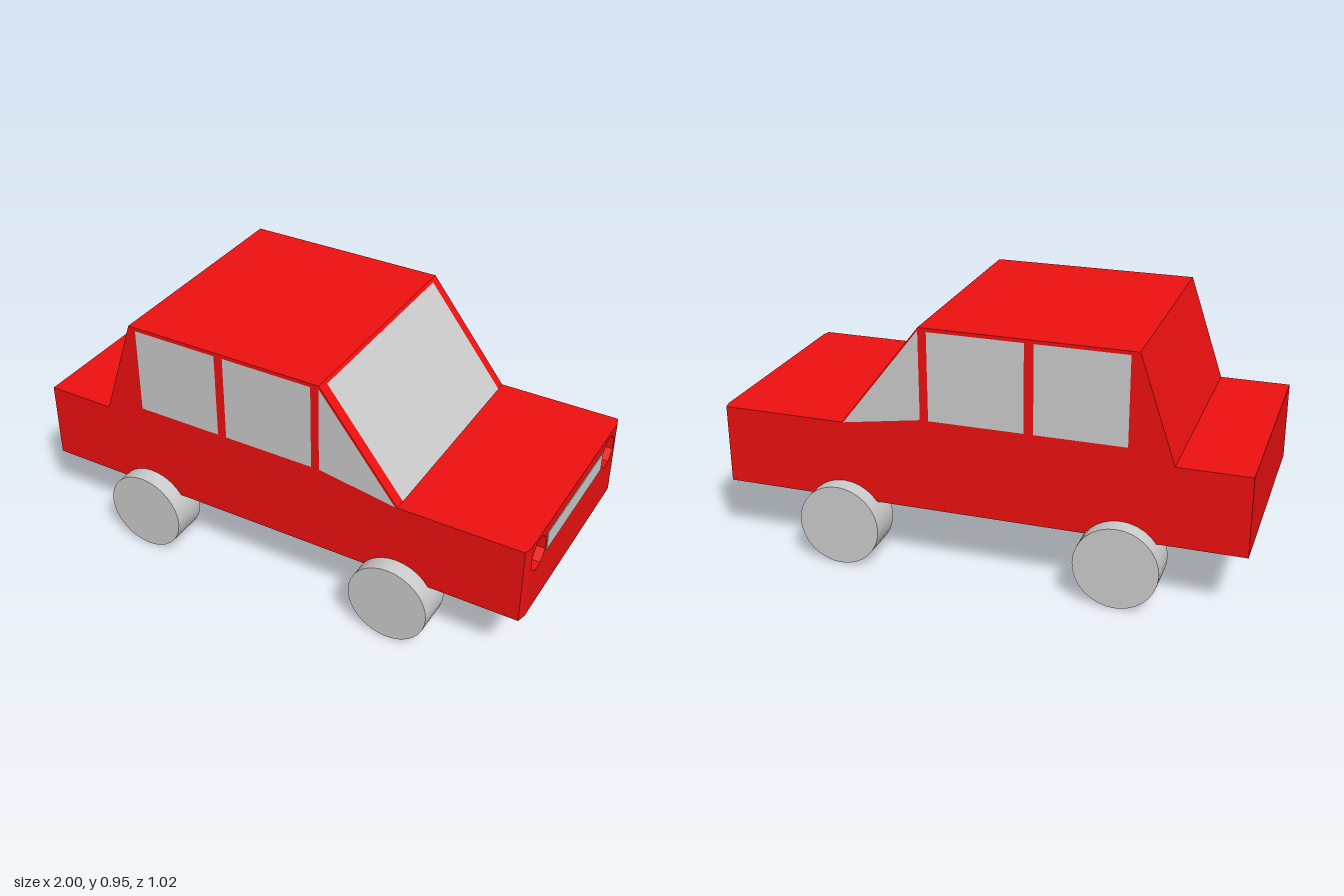
import * as THREE from 'three';

const red = new THREE.MeshStandardMaterial({ color: 0xee1010, flatShading: true });
const grey = new THREE.MeshStandardMaterial({ color: 0xcccccc });
const glass = new THREE.MeshStandardMaterial({ color: 0xcccccc, side: THREE.DoubleSide });

const shapeOf = pts => new THREE.Shape(pts.map(([x, y]) => new THREE.Vector2(x, y)));
const extrude = (shape, depth) => new THREE.ExtrudeGeometry(shape, { depth, bevelEnabled: false });

export function createModel() {
  const car = new THREE.Group();
  car.name = 'car';
  const add = (name, geometry, material, x = 0, y = 0, z = 0) => {
    const mesh = new THREE.Mesh(geometry, material);
    mesh.name = name;
    mesh.position.set(x, y, z);
    car.add(mesh);
    return mesh;
  };

  const W = 0.445, FLOOR = 0.245, DECK = 0.55, ROOF = 0.95;
  const NOSE_BACK = 0.94, NOSE = 0.995, NOSE_W = 0.41;

  // Body and cabin: one side profile across the full width
  const profile = shapeOf([
    [-1, FLOOR], [NOSE_BACK, FLOOR], [NOSE_BACK, DECK], [0.51, DECK],
    [0.2, ROOF], [-0.595, ROOF], [-0.73, DECK], [-1, DECK],
  ]);
  add('body', extrude(profile, 2 * W), red, 0, 0, -W);

  // Nose panel with two octagonal headlight recesses
  const panel = shapeOf([[-NOSE_W, FLOOR], [NOSE_W, FLOOR], [NOSE_W, DECK], [-NOSE_W, DECK]]);
  for (const side of [-1, 1]) {
    const octagon = [];
    for (let i = 0; i < 8; i++) {
      const a = (i + 0.5) * Math.PI / 4;
      octagon.push(new THREE.Vector2(side * 0.333 + 0.066 * Math.cos(a), 0.471 + 0.066 * Math.sin(a)));
    }
    panel.holes.push(new THREE.Path(octagon));
  }
  add('nosePanel', extrude(panel, NOSE - NOSE_BACK).rotateY(Math.PI / 2), red, NOSE_BACK);

  // Grille strip between the headlights
  add('grille', new THREE.BoxGeometry(0.01, 0.075, 0.525), grey, NOSE - 0.002, 0.4725, 0);

  // Windscreen lying on the sloped front of the cabin
  const slope = Math.atan2(0.31, 0.4);
  const windscreen = add('windscreen', new THREE.PlaneGeometry(0.81, 0.493).rotateY(Math.PI / 2), glass,
    0.361, 0.7465, 0);
  windscreen.rotation.z = slope;

  const windows = {
    rearWindow: [[-0.565, 0.6], [-0.225, 0.6], [-0.225, 0.937], [-0.565, 0.937]],
    middleWindow: [[-0.19, 0.6], [0.168, 0.6], [0.168, 0.937], [-0.19, 0.937]],
    quarterWindow: [[0.2, 0.6], [0.503, 0.551], [0.2, 0.94]],
  };

  for (const side of [-1, 1]) {
    // Slightly chamfered nose corners
    const corner = shapeOf([
      [NOSE_BACK, side * NOSE_W], [NOSE, side * NOSE_W], [0.986, side * W], [NOSE_BACK, side * W],
    ]);
    add('noseCorner', extrude(corner, DECK - FLOOR).rotateX(-Math.PI / 2), red, 0, FLOOR, 0);

    // Side windows
    for (const [name, pts] of Object.entries(windows)) {
      const pane = new THREE.ShapeGeometry(shapeOf(pts));
      if (side < 0) pane.rotateY(Math.PI).scale(-1, 1, 1);
      add(name, pane, glass, 0, 0, side * (W + 0.002));
    }

    // Wheels
    for (const [name, x] of [['frontWheel', 0.512], ['rearWheel', -0.548]]) {
      const wheel = new THREE.CylinderGeometry(0.157, 0.157, 0.145, 32).rotateX(Math.PI / 2);
      add(name, wheel, grey, x, 0.157, side * 0.4375);
    }
  }
  return car;
}
